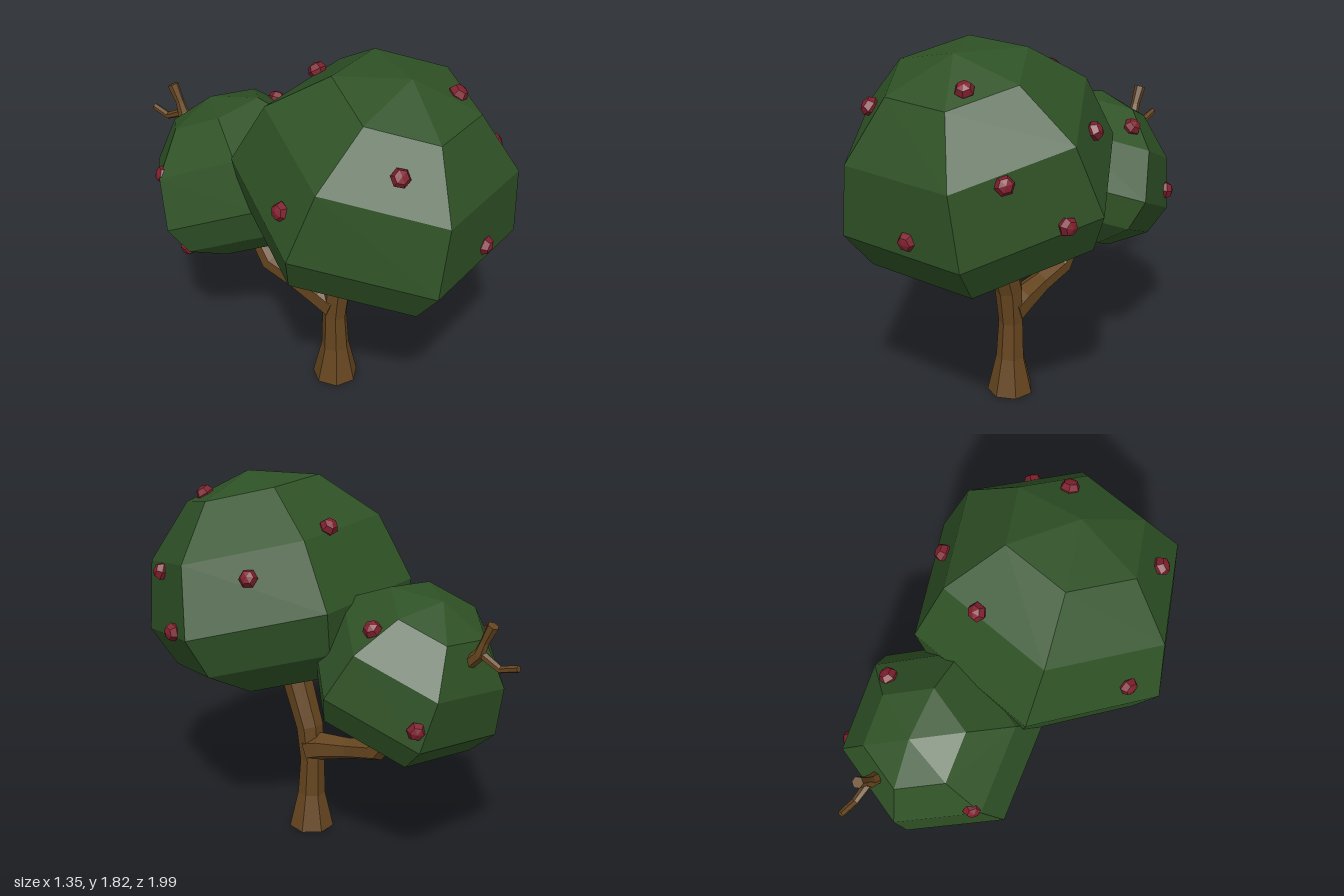
import * as THREE from 'three';

const mat = (color) => new THREE.MeshStandardMaterial({ color, flatShading: true, roughness: 0.9 });
const rad = THREE.MathUtils.degToRad;

// Tapered limb following rows of [x, y, z, radius]
function limb(name, rows, sides, material) {
  const n = rows.length - 1;
  const geo = new THREE.CylinderGeometry(1, 1, 1, sides, n);
  const pts = rows.map((r) => new THREE.Vector3(r[0], r[1], r[2]));
  const X = new THREE.Vector3(1, 0, 0);
  const pos = geo.attributes.position;
  for (let i = 0; i < pos.count; i++) {
    const k = Math.round((pos.getY(i) + 0.5) * n);
    const tangent = pts[Math.min(k + 1, n)].clone().sub(pts[Math.max(k - 1, 0)]);
    const side = X.clone().cross(tangent).normalize();
    const p = pts[k].clone()
      .addScaledVector(X, pos.getX(i) * rows[k][3])
      .addScaledVector(side, pos.getZ(i) * rows[k][3]);
    pos.setXYZ(i, p.x, p.y, p.z);
  }
  geo.computeVertexNormals();
  const mesh = new THREE.Mesh(geo, material);
  mesh.name = name;
  return mesh;
}

// Six-sided ball of leaves with a flattened underside
function crown(name, radius, turn, tilt, center, material) {
  const geo = new THREE.SphereGeometry(radius, 6, 6);
  const pos = geo.attributes.position;
  for (let i = 0; i < pos.count; i++) {
    if (pos.getY(i) < 0) pos.setY(i, pos.getY(i) * 0.6);
  }
  geo.rotateY(rad(turn)).rotateX(rad(tilt));
  geo.computeVertexNormals();
  const mesh = new THREE.Mesh(geo, material);
  mesh.name = name;
  mesh.position.copy(center);
  return mesh;
}

export function createModel() {
  const tree = new THREE.Group();
  tree.name = 'fruitTree';
  const bark = mat(0x65451f);
  const leaves = mat(0x2f5226);
  const red = mat(0x7d1f2d);

  // Trunk, side branch and the forked twig poking out behind
  tree.add(
    limb('trunk', [
      [0, 0, 0.195, 0.115], [0, 0.19, 0.193, 0.071], [0, 0.38, 0.185, 0.062],
      [0, 0.56, 0.2, 0.069], [0, 0.82, 0.285, 0.076], [0, 1.0, 0.34, 0.08],
    ], 7, bark),
    limb('branch', [
      [0, 0.44, 0.19, 0.075], [0, 0.468, 0.11, 0.072], [0, 0.5, -0.05, 0.055],
      [0.005, 0.54, -0.215, 0.058], [0.015, 0.71, -0.345, 0.045],
      [0.03, 0.95, -0.57, 0.035], [0.045, 1.16, -0.77, 0.026],
    ], 6, bark),
    limb('upperTwig', [
      [0.045, 1.13, -0.74, 0.03], [0.045, 1.19, -0.8, 0.03],
      [0.045, 1.25, -0.82, 0.022], [0.045, 1.335, -0.86, 0.028],
    ], 6, bark),
    limb('rearTwig', [
      [0.045, 1.2, -0.79, 0.022], [0.045, 1.14, -0.905, 0.018], [0.045, 1.165, -0.995, 0.017],
    ], 6, bark),
  );

  // Crowns
  const bigCenter = new THREE.Vector3(0, 1.17, 0.39);
  const smallCenter = new THREE.Vector3(0, 0.93, -0.365);
  tree.add(
    crown('largeCrown', 0.675, 0, 15.3, bigCenter, leaves),
    crown('smallCrown', 0.492, -14, -25, smallCenter, leaves),
  );

  // Fruits, each facing outwards from its crown
  const fruitGeo = new THREE.SphereGeometry(0.046, 6, 4);
  const addFruits = (center, spots) => {
    for (const [x, y, z] of spots) {
      const fruit = new THREE.Mesh(fruitGeo, red);
      fruit.name = 'fruit';
      fruit.position.set(x, y, z);
      const out = fruit.position.clone().sub(center).normalize();
      fruit.quaternion.setFromUnitVectors(new THREE.Vector3(0, 1, 0), out);
      fruit.scale.set(1, 0.85, 1);
      tree.add(fruit);
    }
  };
  addFruits(bigCenter, [
    [0.17, 1.72, 0.7], [-0.345, 1.56, 0.74], [0.43, 1.375, 0.765], [0.595, 1.16, 0.545],
    [0.05, 1.09, 0.955], [0.47, 1.46, 0.175], [0.1, 1.65, -0.003], [-0.56, 1.33, 0.28],
  ]);
  addFruits(smallCenter, [
    [0.34, 0.885, -0.665], [0.3, 1.29, -0.395], [-0.37, 1.11, -0.575], [-0.335, 0.71, -0.47],
  ]);
  return tree;
}
